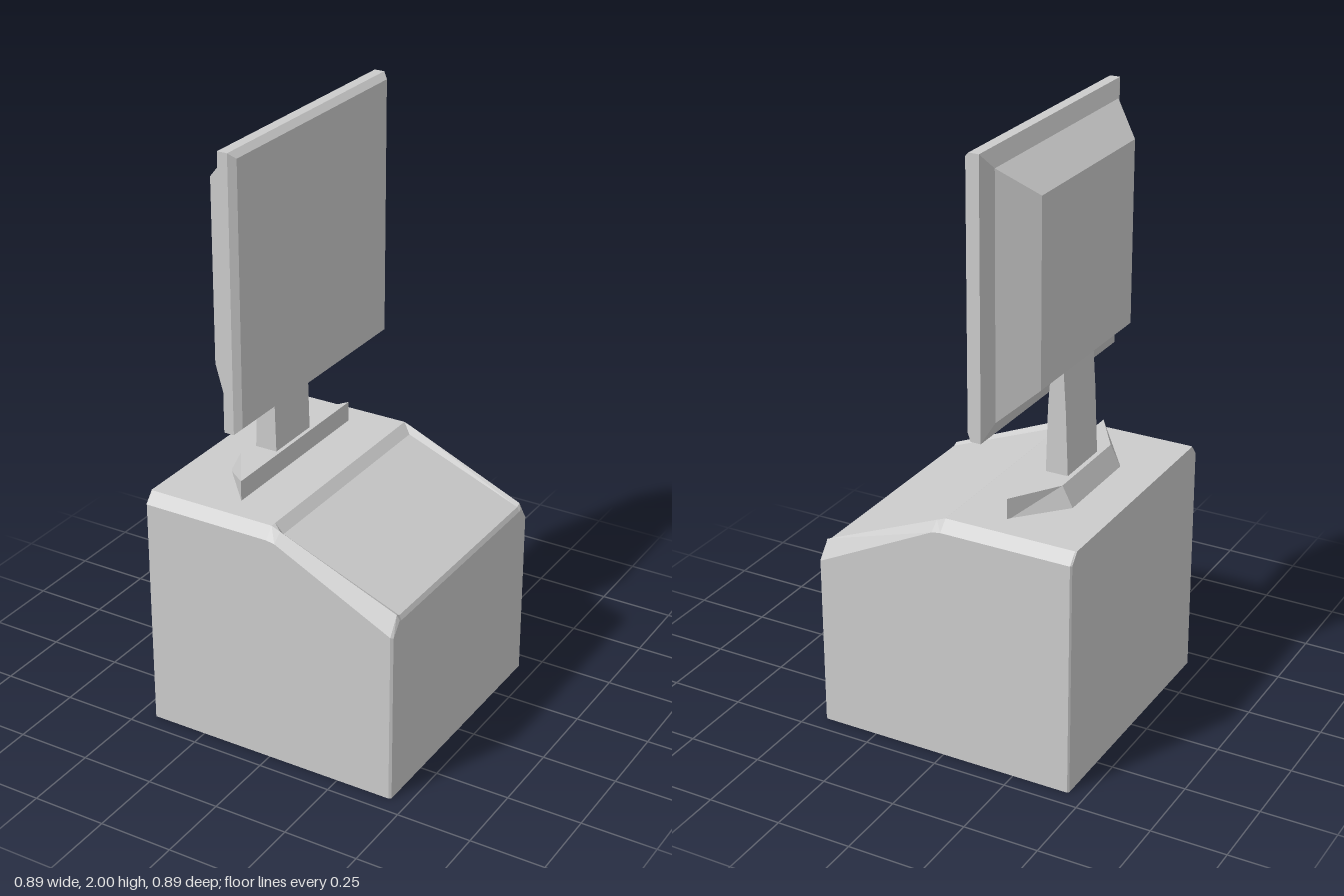
import * as THREE from 'three';

const grey = new THREE.MeshStandardMaterial({ color: 0xcccccc, flatShading: true });

// Skin a stack of matching rings of [u, v] at height h, and cap both ends.
function loft(rings, place) {
  const pos = [];
  const n = rings[0].pts.length;
  const put = (r, i) => pos.push(...place(...rings[r].pts[i % n], rings[r].h));
  for (let r = 0; r < rings.length - 1; r++) {
    for (let i = 0; i < n; i++) {
      put(r, i); put(r, i + 1); put(r + 1, i + 1);
      put(r, i); put(r + 1, i + 1); put(r + 1, i);
    }
  }
  for (const [r, flip] of [[0, true], [rings.length - 1, false]]) {
    const contour = rings[r].pts.map(([u, v]) => new THREE.Vector2(u, v));
    for (const [a, b, c] of THREE.ShapeUtils.triangulateShape(contour, [])) {
      for (const i of flip ? [a, c, b] : [a, b, c]) put(r, i);
    }
  }
  const geometry = new THREE.BufferGeometry();
  geometry.setAttribute('position', new THREE.Float32BufferAttribute(pos, 3));
  geometry.computeVertexNormals();
  return geometry;
}

const alongX = (u, v, h) => [h, v, -u];
const alongY = (u, v, h) => [v, h, u];

// Body section: sides, chamfer up to the rim, then the top or sunken panel.
function bodySection(h, side, sideY, rim, rimY, floor, floorY) {
  const half = [[side, 0], [side, sideY], [rim, rimY], [floor, floorY]];
  const mirrored = half.map(([u, v]) => [-u, v]).reverse();
  return { h, pts: [...half, ...mirrored] };
}

function squareSection(h, s, cy = 1.56) {
  return { h, pts: [[-s, cy - s], [s, cy - s], [s, cy + s], [-s, cy + s]] };
}

export function createModel() {
  const model = new THREE.Group();
  const add = (name, geometry) => {
    const mesh = new THREE.Mesh(geometry, grey);
    mesh.name = name;
    model.add(mesh);
  };

  // Cabinet with chamfered flanks and a sloping panel sunk behind a thin rim
  add('cabinet', loft([
    bodySection(-0.445, 0.437, 0.79, 0.407, 0.825, 0.39, 0.825),
    bodySection(-0.44, 0.443, 0.79, 0.41, 0.825, 0.39, 0.825),
    bodySection(0, 0.443, 0.79, 0.41, 0.825, 0.39, 0.825),
    bodySection(0.03, 0.443, 0.785, 0.41, 0.813, 0.39, 0.795),
    bodySection(0.435, 0.443, 0.583, 0.405, 0.643, 0.39, 0.635),
    bodySection(0.443, 0.437, 0.58, 0.4, 0.625, 0.39, 0.62),
  ], alongX));

  // Foot: trapezoid plan with a sloping back
  const footRing = (h, back) => ({
    h, pts: [[-0.325, -0.165], [-0.165, back], [0.165, back], [0.325, -0.165]],
  });
  add('standFoot', loft([footRing(0.82, -0.308), footRing(0.893, -0.27)], alongY));

  // Tapering neck
  const profile = new THREE.Shape([
    [-0.255, 0.88], [-0.178, 0.88], [-0.184, 1.11], [-0.195, 1.26], [-0.235, 1.26], [-0.245, 1.11],
  ].map(([x, y]) => new THREE.Vector2(x, y)));
  add('standNeck', new THREE.ExtrudeGeometry(profile, { depth: 0.2, bevelEnabled: false })
    .translate(0, 0, -0.1));

  // Monitor: square housing stepping out to the frame and bevelled screen
  add('monitor', loft([
    squareSection(-0.265, 0.3),
    squareSection(-0.163, 0.39),
    squareSection(-0.142, 0.442),
    squareSection(-0.108, 0.442),
    squareSection(-0.088, 0.424),
  ], alongX));

  return model;
}
